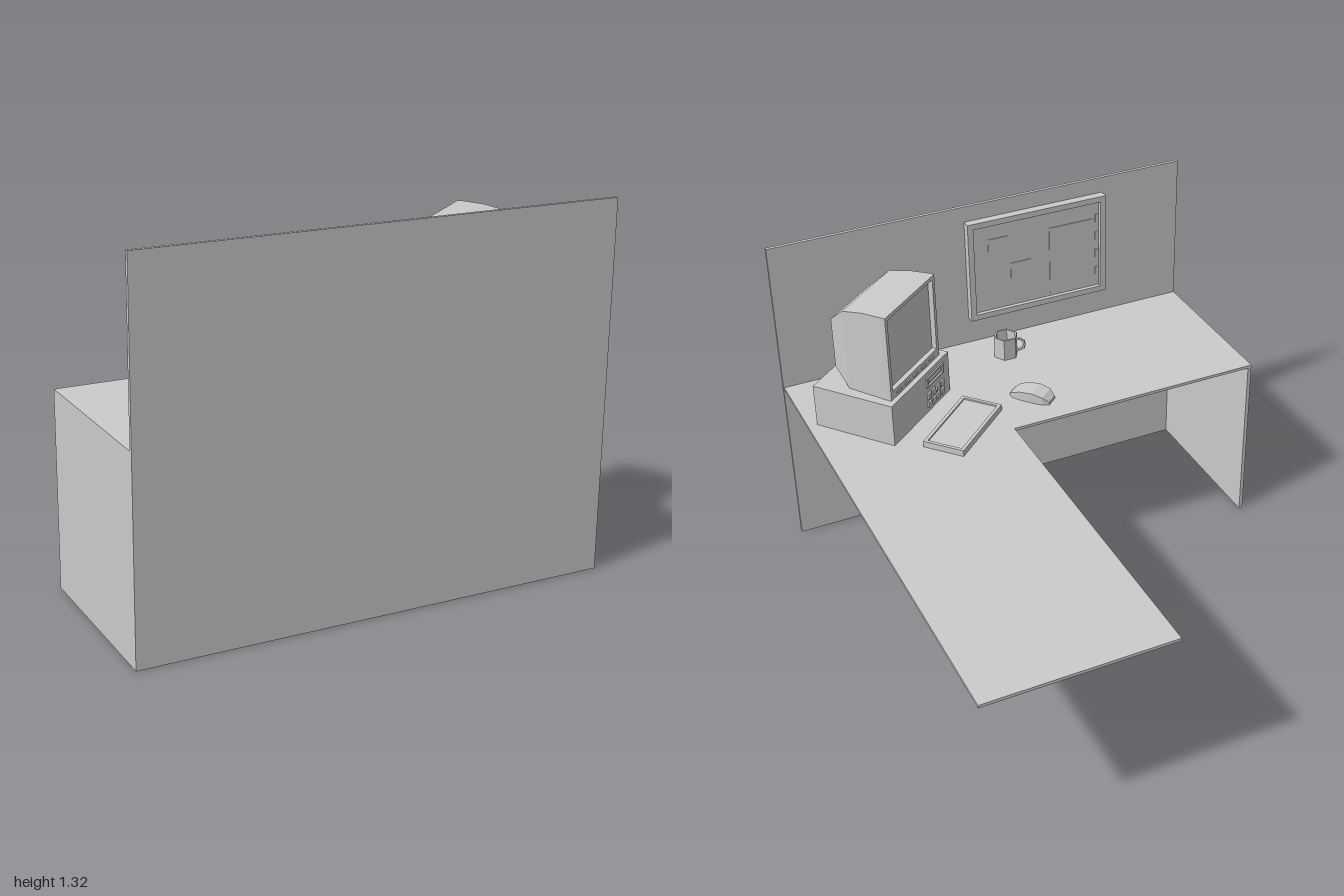
import * as THREE from 'three';

const grey = new THREE.MeshStandardMaterial({ color: 0xcccccc, flatShading: true, side: THREE.DoubleSide });

function add(parent, name, geometry, x = 0, y = 0, z = 0) {
  const mesh = new THREE.Mesh(geometry, grey);
  mesh.name = name;
  mesh.position.set(x, y, z);
  parent.add(mesh);
  return mesh;
}

// box given by its limits on each axis
function block(parent, name, x0, x1, y0, y1, z0, z1) {
  return add(parent, name, new THREE.BoxGeometry(x1 - x0, y1 - y0, z1 - z0),
    (x0 + x1) / 2, (y0 + y1) / 2, (z0 + z1) / 2);
}

// rectangular rim in the XY plane, extruded along z
function rim(x0, x1, y0, y1, side, bottom, depth) {
  const rect = (a, b, c, d) => [[a, c], [b, c], [b, d], [a, d]].map(p => new THREE.Vector2(...p));
  const shape = new THREE.Shape(rect(x0, x1, y0, y1));
  shape.holes.push(new THREE.Path(rect(x0 + side, x1 - side, y0 + bottom, y1 - side)));
  return new THREE.ExtrudeGeometry(shape, { depth, bevelEnabled: false });
}

// loft through rectangles [z, halfWidth, y0, y1], ordered by rising z
function loft(sections) {
  const rings = sections.map(([z, w, y0, y1]) => [[-w, y0, z], [w, y0, z], [w, y1, z], [-w, y1, z]]);
  const points = [];
  const quad = (a, b, c, d) => points.push(...a, ...b, ...c, ...a, ...c, ...d);
  for (let s = 0; s < rings.length - 1; s++) {
    for (let i = 0; i < 4; i++) {
      const j = (i + 1) % 4;
      quad(rings[s][i], rings[s][j], rings[s + 1][j], rings[s + 1][i]);
    }
  }
  quad(...rings[rings.length - 1]);
  quad(...[...rings[0]].reverse());
  const geometry = new THREE.BufferGeometry();
  geometry.setAttribute('position', new THREE.Float32BufferAttribute(points, 3));
  geometry.computeVertexNormals();
  return geometry;
}

// group placed on the desk top, turned about y
function station(parent, name, x, z, angle) {
  const group = new THREE.Group();
  group.name = name;
  group.position.set(x, 0.712, z);
  group.rotation.y = angle;
  parent.add(group);
  return group;
}

function createDesk(root) {
  const outline = [[-0.87, 0.325], [0.165, 0.325], [0.165, -1], [0.87, -1], [0.862, 0.985], [-0.87, 0.99]];
  const top = new THREE.ExtrudeGeometry(new THREE.Shape(outline.map(p => new THREE.Vector2(...p))),
    { depth: 0.012, bevelEnabled: false });
  top.rotateX(Math.PI / 2);
  add(root, 'deskTop', top, 0, 0.712, 0);
  block(root, 'sidePanel', -0.87, -0.855, 0, 0.7, 0.325, 0.985);
  const wall = block(root, 'backWall', -0.87, 0.865, 0, 1.32, 0.982, 0.996);
  wall.rotation.y = 0.003;
}

function createComputer(root) {
  const computer = station(root, 'computer', 0.555, 0.68, -2.455);
  block(computer, 'computerCase', -0.213, 0.213, 0, 0.173, -0.17, 0.17);
  // drive bays on the case front
  const bay = add(computer, 'upperDriveRim', rim(0.037, 0.166, 0.108, 0.153, 0.008, 0.008, 0.006), 0, 0, 0.17);
  bay.name = 'upperDriveRim';
  block(computer, 'driveSlot', 0.055, 0.148, 0.126, 0.134, 0.17, 0.175);
  for (let i = 0; i < 4; i++) {
    const x = 0.04 + i * 0.033;
    block(computer, 'caseButton', x, x + 0.024, 0.055, 0.08, 0.17, 0.177);
    block(computer, 'caseSwitch', x, x + 0.024, 0.02, 0.045, 0.17, 0.177);
  }
  // monitor: tapered shell, bezel around the sunken screen
  add(computer, 'monitorShell', loft([
    [-0.12, 0.124, 0.223, 0.428], [-0.037, 0.168, 0.173, 0.503],
    [0.05, 0.174, 0.173, 0.519], [0.13, 0.18, 0.173, 0.523],
  ]));
  add(computer, 'monitorBezel', rim(-0.18, 0.18, 0.173, 0.523, 0.016, 0.035, 0.02), 0, 0, 0.13);
  for (let i = 0; i < 5; i++) {
    const x = -0.14 + i * 0.06;
    block(computer, 'monitorButton', x, x + 0.035, 0.185, 0.193, 0.15, 0.154);
  }
  // cable stub behind the monitor
  const cable = new THREE.LineCurve3(new THREE.Vector3(-0.01, 0.255, -0.155), new THREE.Vector3(-0.01, 0.225, -0.115));
  add(computer, 'cable', new THREE.TubeGeometry(cable, 1, 0.006, 6));
}

function createKeyboard(root) {
  const keyboard = station(root, 'keyboard', 0.338, 0.412, -2.41);
  const edge = rim(-0.168, 0.168, -0.083, 0.083, 0.013, 0.013, 0.025);
  edge.rotateX(-Math.PI / 2);
  add(keyboard, 'keyboardRim', edge);
  block(keyboard, 'keyBed', -0.155, 0.155, 0, 0.018, -0.07, 0.07);
}

function createMouse(root) {
  const mouse = station(root, 'mouse', 0.015, 0.495, 0.7);
  add(mouse, 'mouseBody', loft([
    [-0.085, 0.025, 0, 0.012], [-0.06, 0.038, 0, 0.032], [-0.015, 0.041, 0, 0.042],
    [0.035, 0.04, 0, 0.036], [0.07, 0.034, 0, 0.022], [0.085, 0.024, 0, 0.01],
  ]));
}

function createMug(root) {
  const mug = station(root, 'mug', -0.02, 0.83, Math.PI / 6);
  const profile = [[0, 0], [0.05, 0], [0.05, 0.09], [0.042, 0.09], [0.042, 0.012], [0, 0.012]];
  add(mug, 'mugBody', new THREE.LatheGeometry(profile.map(p => new THREE.Vector2(...p)), 6));
  const path = new THREE.CatmullRomCurve3([[-0.042, 0.075, 0], [-0.07, 0.07, 0], [-0.072, 0.035, 0], [-0.042, 0.02, 0]]
    .map(p => new THREE.Vector3(...p)));
  const handle = add(mug, 'mugHandle', new THREE.TubeGeometry(path, 6, 0.006, 5));
  handle.rotation.y = -Math.PI / 3;
}

function createBoard(root) {
  const board = new THREE.Group();
  board.name = 'noticeBoard';
  root.add(board);
  add(board, 'boardFrame', rim(-0.525, 0.075, 0.825, 1.255, 0.024, 0.024, 0.036), 0, 0, 0.948);
  block(board, 'boardPanel', -0.502, 0.052, 0.848, 1.232, 0.965, 0.984);
  // pinned papers: x0, x1, y0, y1
  const papers = [[-0.1, -0.015, 1.09, 1.165], [-0.2, -0.11, 0.97, 1.04], [-0.475, -0.28, 0.865, 1.157]];
  for (const [x0, x1, y0, y1] of papers) block(board, 'paper', x0, x1, y0, y1, 0.962, 0.965);
  for (let i = 0; i < 4; i++) {
    const y = 0.9 + i * 0.08;
    block(board, 'pin', -0.494, -0.484, y, y + 0.035, 0.96, 0.965);
  }
}

export function createModel() {
  const root = new THREE.Group();
  root.name = 'officeDesk';
  createDesk(root);
  createComputer(root);
  createKeyboard(root);
  createMouse(root);
  createMug(root);
  createBoard(root);
  return root;
}
